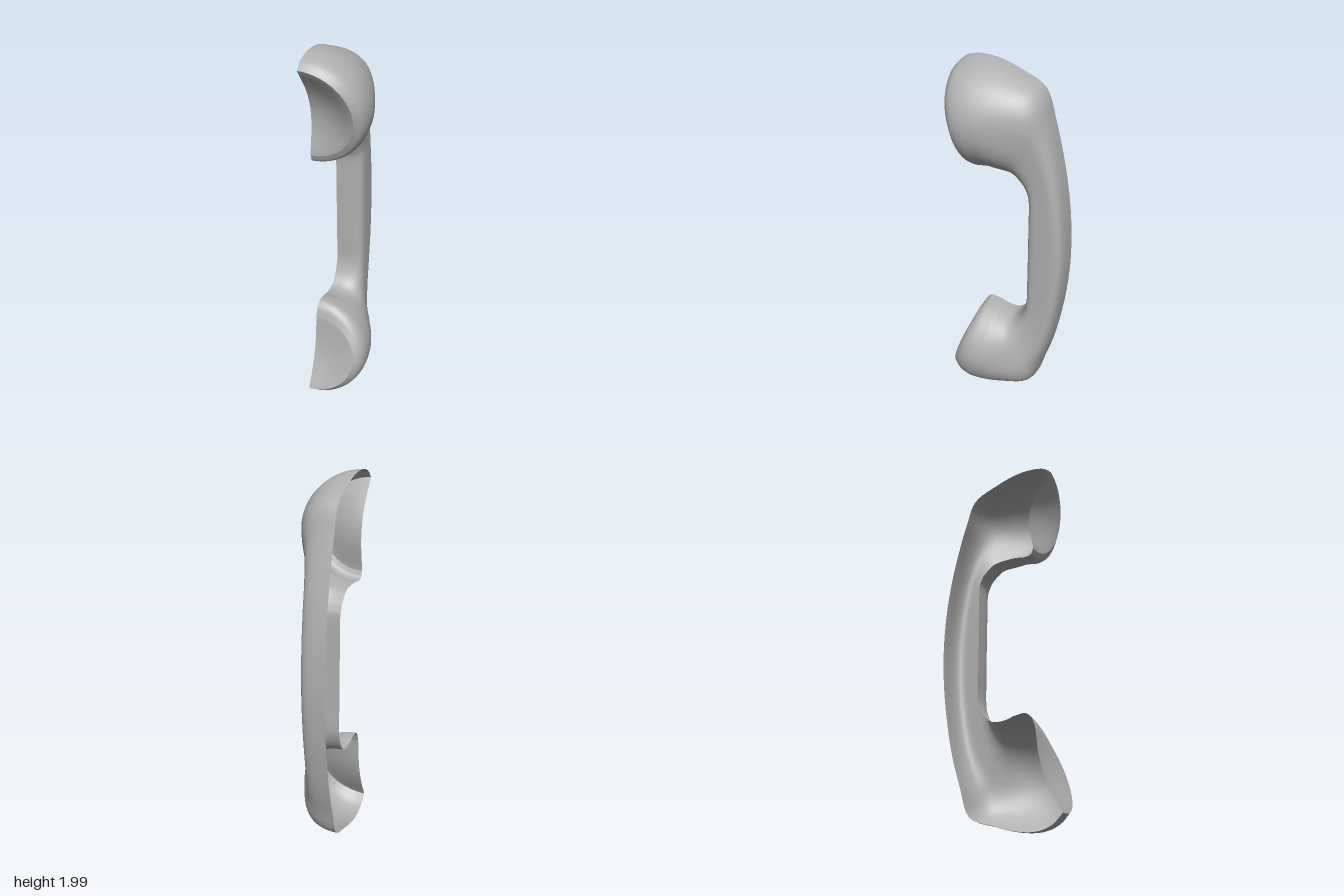
import * as THREE from 'three';

const CUT_X = -0.143; // plane of the open cut along the handset
const SIDES = 40;

// Stations from mouthpiece rim to earpiece rim:
// outer z, outer y, inner z, inner y, half width, squareness
const STATIONS = [
  [0.325, 0.08, 0.195, 0.5, 0.238, 2],
  [0.27, 0.03, 0.175, 0.55, 0.27, 2],
  [0.2, 0.008, 0.145, 0.573, 0.284, 2],
  [0.1, 0.015, 0.1, 0.57, 0.28, 2],
  [-0.02, 0.05, 0.05, 0.555, 0.255, 2.2],
  [-0.145, 0.1, -0.01, 0.55, 0.21, 2.5],
  [-0.2, 0.25, -0.06, 0.575, 0.17, 3.1],
  [-0.25, 0.42, -0.1, 0.64, 0.15, 3.8],
  [-0.285, 0.6, -0.115, 0.72, 0.144, 4.3],
  [-0.309, 0.78, -0.115, 0.83, 0.143, 4.5],
  [-0.32, 0.98, -0.115, 0.98, 0.143, 4.5],
  [-0.311, 1.2, -0.115, 1.18, 0.143, 4.5],
  [-0.285, 1.4, -0.115, 1.31, 0.144, 4.3],
  [-0.25, 1.57, -0.1, 1.37, 0.15, 3.8],
  [-0.205, 1.74, -0.07, 1.41, 0.17, 3.1],
  [-0.15, 1.89, -0.02, 1.445, 0.21, 2.5],
  [-0.02, 1.957, 0.05, 1.452, 0.255, 2.2],
  [0.1, 1.994, 0.11, 1.45, 0.28, 2],
  [0.2, 1.998, 0.155, 1.443, 0.284, 2],
  [0.27, 1.98, 0.185, 1.452, 0.27, 2],
  [0.31, 1.945, 0.2, 1.485, 0.238, 2],
];

// Half of a superellipse running from the outer to the inner profile point
function section([oz, oy, iz, iy, w, n]) {
  const points = [];
  for (let j = 0; j <= SIDES; j++) {
    const t = (j / SIDES) * Math.PI;
    const c = Math.sign(Math.cos(t)) * Math.abs(Math.cos(t)) ** (2 / n);
    const s = Math.max(0, Math.sin(t)) ** (2 / n);
    points.push(new THREE.Vector3(
      CUT_X + w * s,
      (oy + iy) / 2 + ((oy - iy) / 2) * c,
      (oz + iz) / 2 + ((oz - iz) / 2) * c,
    ));
  }
  return points;
}

// Skin a row of loops
function loft(loops) {
  const index = [];
  const row = SIDES + 1;
  for (let i = 0; i < loops.length - 1; i++) {
    for (let j = 0; j < SIDES; j++) {
      const a = i * row + j;
      const b = a + row;
      index.push(a, b, a + 1, b, b + 1, a + 1);
    }
  }
  const geometry = new THREE.BufferGeometry().setFromPoints(loops.flat());
  geometry.setIndex(index);
  geometry.computeVertexNormals();
  return geometry;
}

// Smooth body through all stations
function shellGeometry() {
  const outer = new THREE.CatmullRomCurve3(STATIONS.map((s) => new THREE.Vector3(s[0], s[1], s[4])));
  const inner = new THREE.CatmullRomCurve3(STATIONS.map((s) => new THREE.Vector3(s[2], s[3], s[5])));
  const steps = (STATIONS.length - 1) * 5;
  const loops = [];
  for (let i = 0; i <= steps; i++) {
    const o = outer.getPoint(i / steps);
    const p = inner.getPoint(i / steps);
    loops.push(section([o.x, o.y, p.x, p.y, o.z, p.z]));
  }
  return loft(loops);
}

// Concave face: rim loop shrunk towards its centre and pushed inwards
function dishGeometry(station, depth) {
  const [oz, oy, iz, iy] = station;
  const rim = section(station);
  if (oy < iy) rim.reverse();
  const centre = new THREE.Vector3(CUT_X, (oy + iy) / 2, (oz + iz) / 2);
  const inward = new THREE.Vector3(0, oz - iz, iy - oy).normalize();
  if (inward.z > 0) inward.negate();
  const loops = [];
  for (let i = 0; i <= 14; i++) {
    const k = 1 - i / 14;
    const push = depth * (1 - k * k) ** 1.3;
    loops.push(rim.map((p) => p.clone().sub(centre).multiplyScalar(k).add(centre).addScaledVector(inward, push)));
  }
  return loft(loops);
}

export function createModel() {
  const group = new THREE.Group();
  group.name = 'halfHandset';
  const grey = new THREE.MeshStandardMaterial({ color: 0xb0b0b0 });
  grey.name = 'plain grey';
  grey.side = THREE.DoubleSide; // open shell

  const add = (name, geometry) => {
    const mesh = new THREE.Mesh(geometry, grey);
    mesh.name = name;
    group.add(mesh);
  };
  add('handsetShell', shellGeometry());
  add('mouthpieceDish', dishGeometry(STATIONS[0], 0.03));
  add('earpieceDish', dishGeometry(STATIONS[STATIONS.length - 1], 0.07));
  return group;
}
